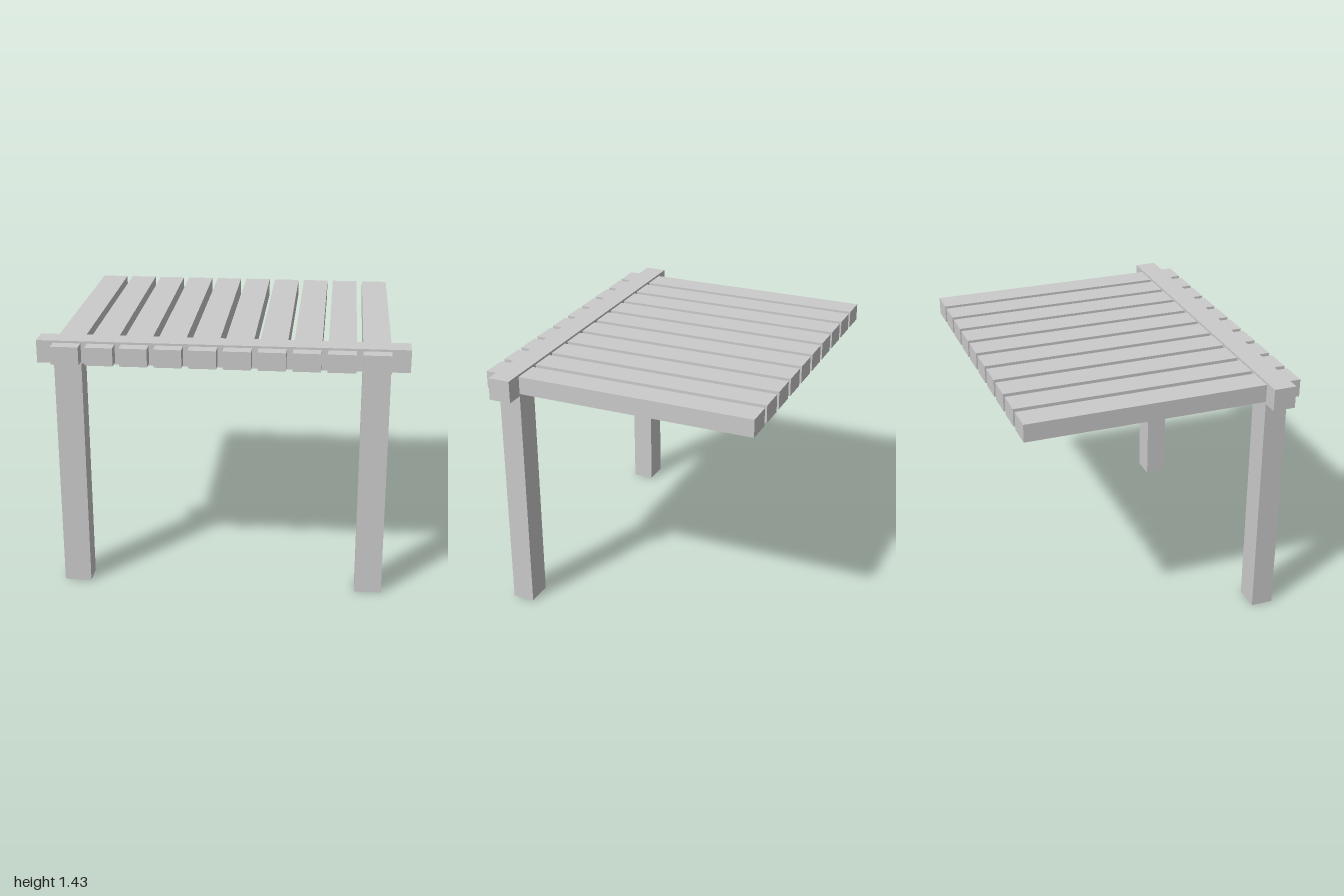
import * as THREE from 'three';

export function createModel() {
  const model = new THREE.Group();
  model.name = 'pergola';
  const material = new THREE.MeshStandardMaterial({ color: 0xcccccc, flatShading: true });

  const addBox = (name, size, position) => {
    const mesh = new THREE.Mesh(new THREE.BoxGeometry(...size), material);
    mesh.name = name;
    mesh.position.set(...position);
    model.add(mesh);
  };

  const slatCount = 10;
  const slatWidth = 0.15;
  const firstX = -0.833;
  const lastX = 0.823;
  const beamZ = 0.635;
  const beamBottom = 1.31;
  const beamHeight = 0.125;

  // Posts under the outermost slats
  addBox('rightPost', [slatWidth, beamBottom, 0.125], [firstX, beamBottom / 2, beamZ]);
  addBox('leftPost', [slatWidth, beamBottom, 0.125], [lastX, beamBottom / 2, beamZ]);

  // Cross beam carrying the roof
  addBox('crossBeam', [2, beamHeight, 0.125], [0, beamBottom + beamHeight / 2, beamZ]);

  // Roof slats running front to back through the beam
  for (let i = 0; i < slatCount; i++) {
    const x = THREE.MathUtils.lerp(firstX, lastX, i / (slatCount - 1));
    addBox(`roofSlat${i + 1}`, [slatWidth, 0.1, 1.54], [x, 1.373, 0]);
  }

  return model;
}
